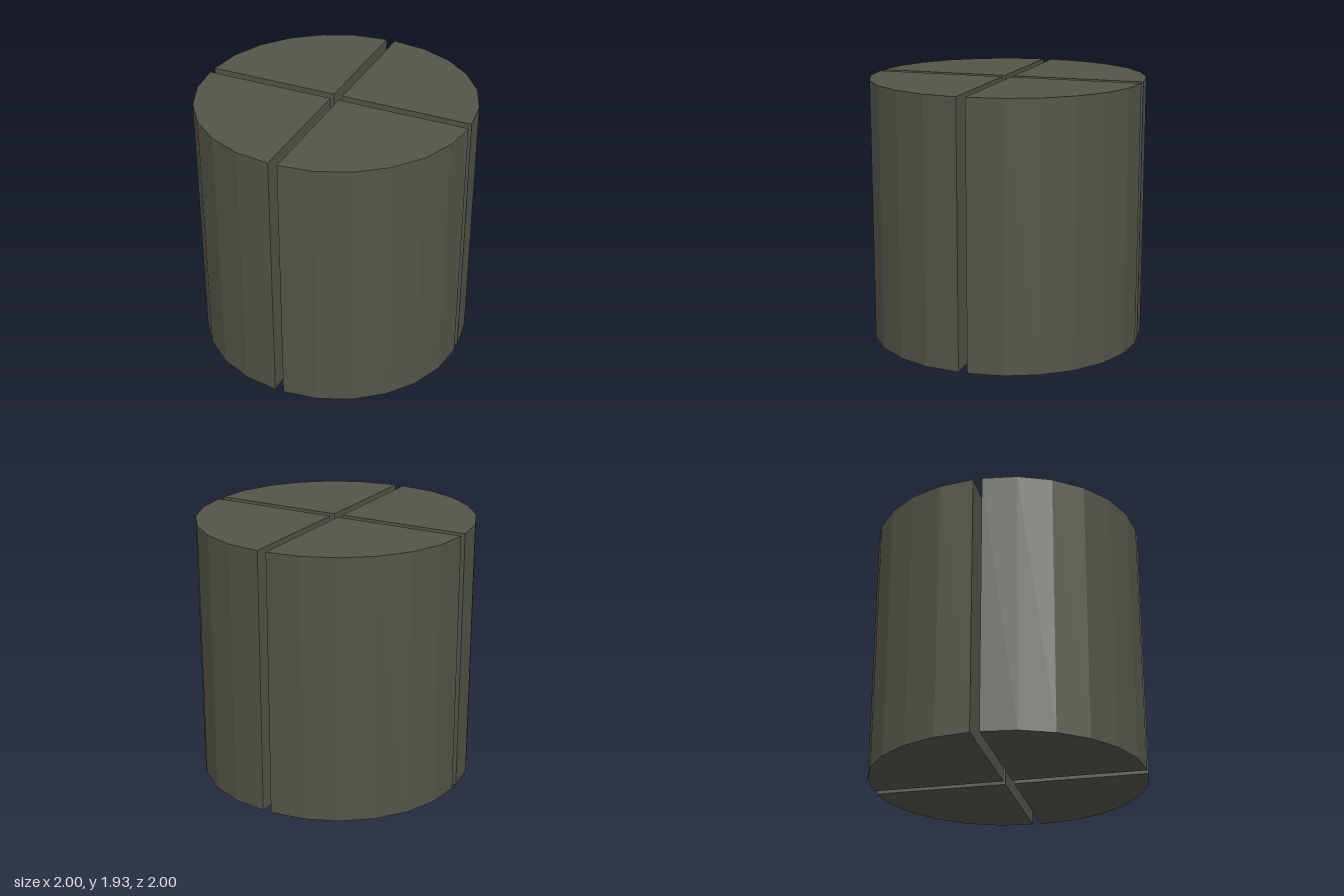
import * as THREE from 'three';

export function createModel() {
  const group = new THREE.Group();
  group.name = 'quarteredCylinder';
  const darkOlive = new THREE.MeshStandardMaterial({ color: 0x55544a, flatShading: true });
  darkOlive.name = 'darkOlive';

  const gap = 0.0325;       // half the width of the cross-shaped slot
  const radius = 1 - gap;
  const height = 1.935;
  const sides = 6;          // facets per quarter

  // Quarter-disc outline with its corner at the origin
  const outline = [new THREE.Vector2(0, 0)];
  for (let i = 0; i <= sides; i++) {
    const a = (i / sides) * Math.PI / 2;
    outline.push(new THREE.Vector2(radius * Math.cos(a), radius * Math.sin(a)));
  }
  const wedge = new THREE.ExtrudeGeometry(new THREE.Shape(outline), { depth: height, bevelEnabled: false });
  wedge.rotateX(-Math.PI / 2);
  wedge.translate(gap, 0, -gap);

  // Four wedges around the vertical axis
  ['backLeft', 'backRight', 'frontRight', 'frontLeft'].forEach((place, i) => {
    const mesh = new THREE.Mesh(wedge, darkOlive);
    mesh.name = place + 'Wedge';
    mesh.rotation.y = i * Math.PI / 2;
    group.add(mesh);
  });
  return group;
}
